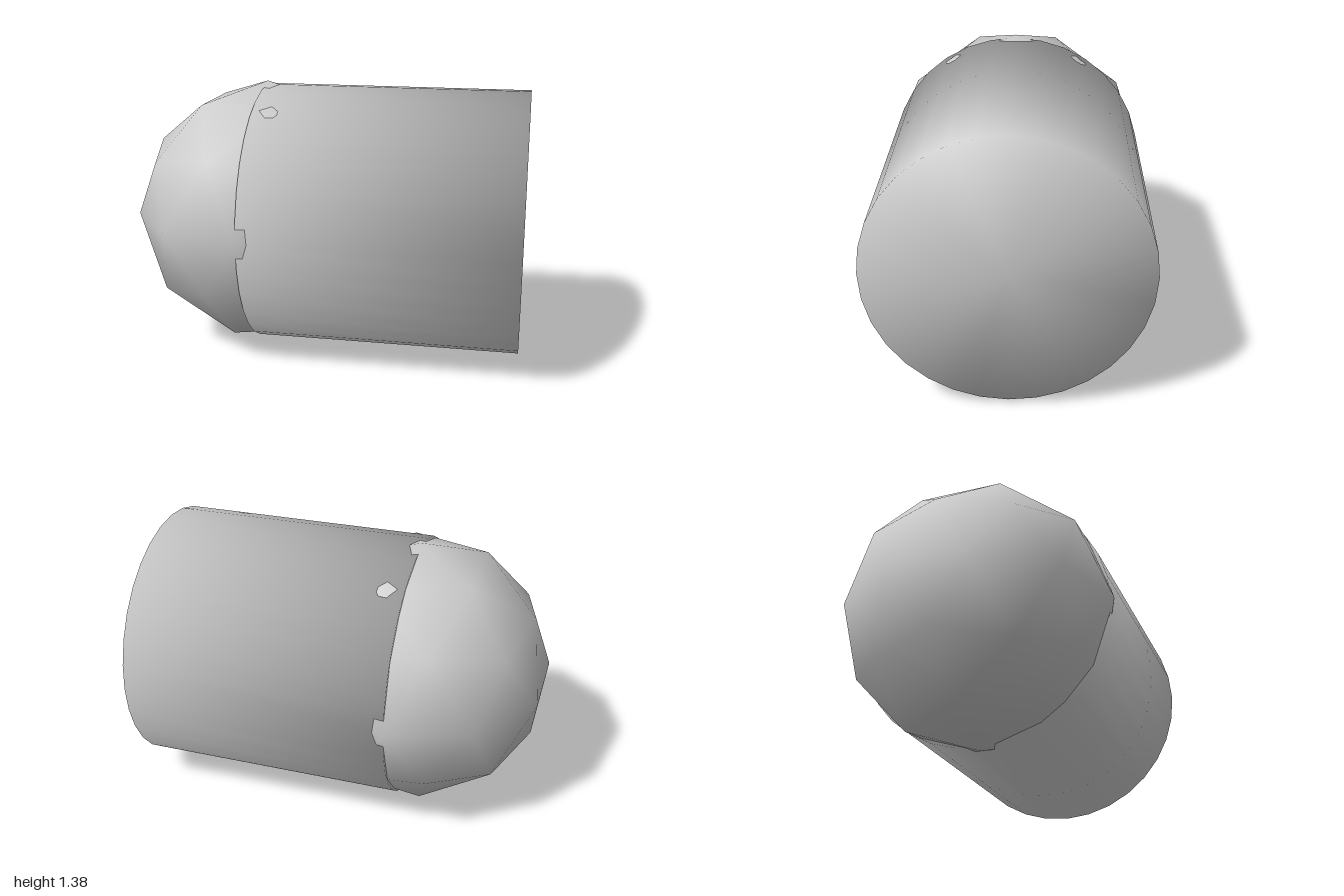
import * as THREE from 'three';

const AXIS_Y = 0.688;   // height of the long axis
const JOIN_X = -0.345;  // where the barrel meets the rounded end
const END_X = 1;

export function createModel() {
  const model = new THREE.Group();
  model.name = 'capsule';
  const grey = new THREE.MeshStandardMaterial({ color: 0xcccccc });
  grey.name = 'plain grey';

  // Barrel: closed 32-sided cylinder lying along x, shaded smoothly over its rims
  const radius = 0.67;
  const barrelGeometry = new THREE.CylinderGeometry(radius, radius, END_X - JOIN_X, 32);
  barrelGeometry.rotateZ(-Math.PI / 2);
  const position = barrelGeometry.attributes.position;
  const normal = barrelGeometry.attributes.normal;
  for (let i = 0; i < position.count; i++) {
    normal.setXYZ(
      i,
      0.81 * Math.sign(position.getX(i)),
      0.58 * position.getY(i) / radius,
      0.58 * position.getZ(i) / radius
    );
  }
  const barrel = new THREE.Mesh(barrelGeometry, grey);
  barrel.name = 'barrel';
  barrel.position.set((JOIN_X + END_X) / 2, AXIS_Y, 0);
  model.add(barrel);

  // Rounded end: coarse smooth icosphere with a corner at the top, poking slightly through the barrel
  const domeGeometry = new THREE.IcosahedronGeometry(AXIS_Y, 1);
  domeGeometry.rotateZ(-Math.atan(2 / (1 + Math.sqrt(5))));
  const dome = new THREE.Mesh(domeGeometry, grey);
  dome.name = 'roundedEnd';
  dome.position.set(JOIN_X, AXIS_Y, 0);
  model.add(dome);

  return model;
}
